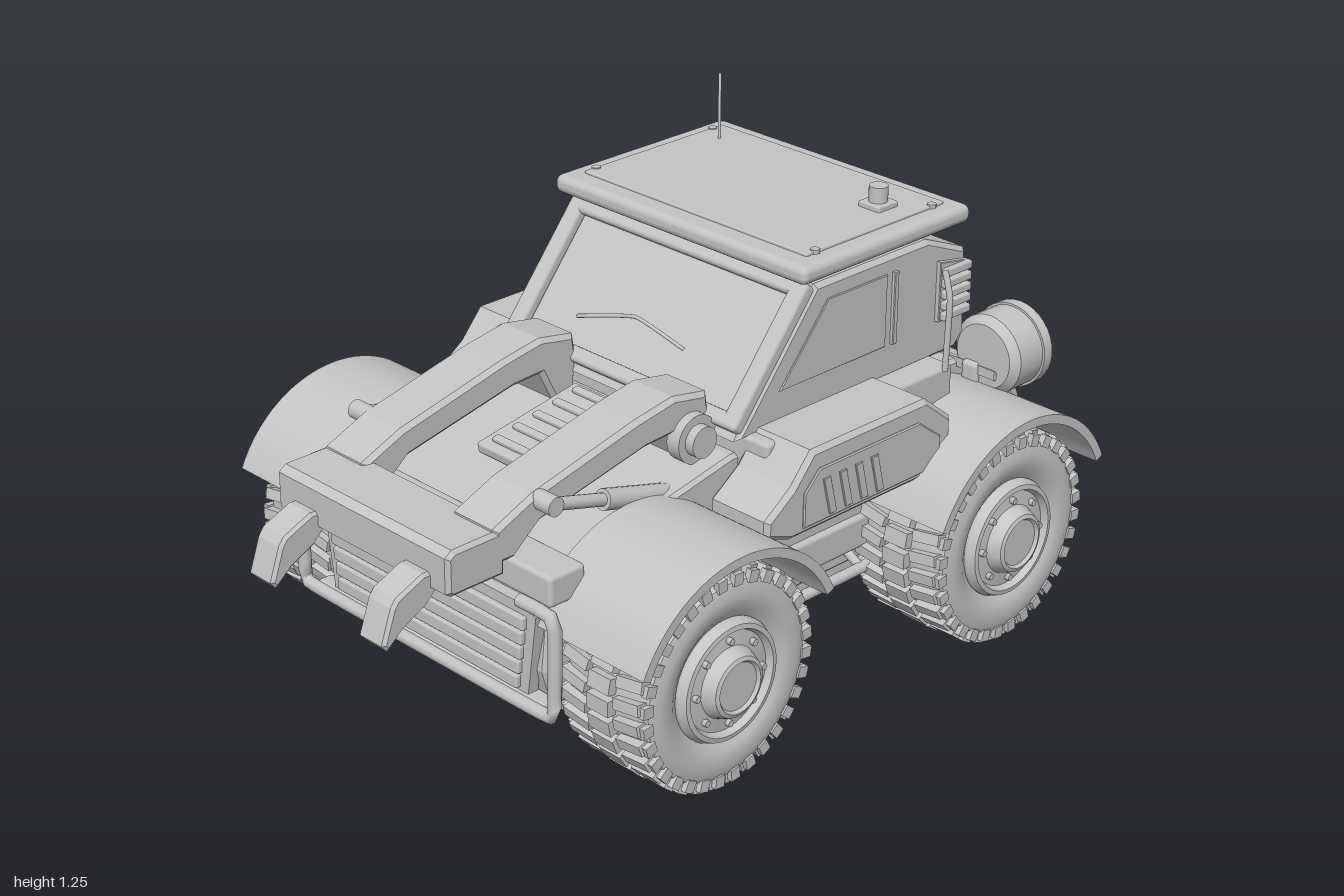
import * as THREE from 'three';
import { mergeGeometries, toCreasedNormals } from 'three/addons/utils/BufferGeometryUtils.js';
import { RoundedBoxGeometry } from 'three/addons/geometries/RoundedBoxGeometry.js';

const V = (x, y, z) => new THREE.Vector3(x, y, z);

export function createModel() {
  const model = new THREE.Group();
  const grey = new THREE.MeshStandardMaterial({ color: 0xc4c4c4 });
  grey.name = 'plain grey';

  const add = (name, geo, x = 0, y = 0, z = 0, rx = 0, parent = model) => {
    const m = new THREE.Mesh(geo, grey);
    m.name = name;
    m.position.set(x, y, z);
    m.rotation.x = rx;
    parent.add(m);
    return m;
  };
  const box = (w, h, d) => new THREE.BoxGeometry(w, h, d);
  const rbox = (w, h, d, r = 0.012) => new RoundedBoxGeometry(w, h, d, 2, r);
  // side profile of [z, y] points, spread across x from x0 to x1
  const side = (pts, x0, x1, bevel = 0.01) => {
    const g = new THREE.ExtrudeGeometry(new THREE.Shape(pts.map(p => new THREE.Vector2(...p))), {
      depth: x1 - x0 - 2 * bevel, bevelEnabled: true, bevelSize: bevel,
      bevelThickness: bevel, bevelOffset: -bevel, bevelSegments: 1,
    });
    return g.rotateY(-Math.PI / 2).translate(x1 - bevel, 0, 0);
  };
  // round bar between two points
  const rod = (name, a, b, r, seg = 14) => {
    const d = b.clone().sub(a);
    const m = add(name, new THREE.CylinderGeometry(r, r, d.length(), seg));
    m.position.copy(a).addScaledVector(d, 0.5);
    m.quaternion.setFromUnitVectors(V(0, 1, 0), d.normalize());
  };
  const tube = (name, pts, r) => add(name, new THREE.TubeGeometry(
    new THREE.CatmullRomCurve3(pts, false, 'catmullrom', 0.2), 48, r, 10));
  const both = fn => [1, -1].forEach(fn);

  // hull and belly
  add('hull', side([[0.62, 0.2], [0.65, 0.3], [0.63, 0.48], [0.58, 0.54], [0.05, 0.645], [-0.78, 0.64],
    [-0.82, 0.6], [-0.91, 0.36], [-0.86, 0.24], [-0.4, 0.2]], -0.385, 0.385));
  add('bellyPan', box(0.62, 0.12, 1.07), 0, 0.17, -0.02);
  add('cabinFloor', rbox(0.96, 0.1, 0.66), 0, 0.65, -0.3);
  add('rearPanel', side([[-0.76, 0.645], [-0.83, 0.625], [-0.935, 0.37], [-0.91, 0.36], [-0.81, 0.6], [-0.76, 0.62]], -0.51, 0.51, 0.004));

  // hood panel with vents
  const hoodTilt = 0.17;
  add('hoodPanel', rbox(0.29, 0.03, 0.33, 0.008), 0, 0.622, 0.22, hoodTilt);
  for (let i = 0; i < 5; i++) {
    const z = 0.09 + i * 0.065;
    add('hoodVent', rbox(0.23, 0.014, 0.022, 0.005), 0, 0.642 - (z - 0.22) * hoodTilt, z, hoodTilt);
  }

  // cabin
  add('cabin', side([[0.04, 0.72], [-0.2, 1.015], [-0.6, 1.015], [-0.745, 0.955], [-0.755, 0.73], [-0.72, 0.69], [0.06, 0.69]], -0.41, 0.41, 0.012));
  const screen = new THREE.Group();
  screen.name = 'windshield';
  screen.position.set(0, 0.857, -0.075);
  screen.rotation.x = -0.683;
  model.add(screen);
  both(s => {
    add('windshieldPost', rbox(0.05, 0.39, 0.04), s * 0.38, 0, 0.008, 0, screen);
    add('windshieldRail', rbox(0.81, 0.04, 0.04), 0, s * 0.175, 0.008, 0, screen);
  });
  add('windshieldPane', box(0.7, 0.32, 0.008), 0, 0, 0.003, 0, screen);
  tube('wiper', [V(-0.2, 0.805, 0), V(-0.03, 0.845, -0.035), V(0.16, 0.825, -0.015)], 0.005);

  // roof with lid, mounts, bolts, beacon and antenna
  add('roof', rbox(0.86, 0.048, 0.6, 0.02), 0, 1.055, -0.435);
  add('roofLid', rbox(0.76, 0.012, 0.49, 0.004), 0, 1.08, -0.44);
  both(s => [-0.645, -0.23].forEach(z => {
    add('roofBolt', new THREE.CylinderGeometry(0.012, 0.012, 0.01, 10), s * 0.375, 1.084, z);
    add('roofMount', box(0.04, 0.05, 0.04), s * 0.33, 1.015, Math.max(z, -0.57));
  }));
  add('beaconBase', rbox(0.07, 0.02, 0.07, 0.005), 0.29, 1.09, -0.545);
  add('beacon', new THREE.CylinderGeometry(0.024, 0.024, 0.05, 20), 0.29, 1.115, -0.545);
  tube('antenna', [V(-0.31, 1.08, -0.605), V(-0.318, 1.17, -0.612), V(-0.335, 1.25, -0.63)], 0.004);

  // cabin rear grille and engine deck
  add('rearGrilleFrame', rbox(0.7, 0.19, 0.03), 0, 0.84, -0.752);
  add('rearGrille', rbox(0.5, 0.13, 0.02, 0.006), 0, 0.845, -0.763);
  both(s => add('rearGrilleHandle', rbox(0.035, 0.13, 0.03, 0.008), s * 0.3, 0.84, -0.765));
  for (let i = 0; i < 6; i++) add('rearGrilleSlat', box(0.48, 0.008, 0.012), 0, 0.795 + i * 0.02, -0.77);
  add('engineDeck', rbox(0.5, 0.05, 0.13), 0, 0.635, -0.815, -0.25);
  for (let i = 0; i < 10; i++) add('engineDeckRib', rbox(0.034, 0.04, 0.125, 0.006), -0.225 + i * 0.05, 0.65, -0.825, -0.25);

  // rear bumper
  add('rearBumper', rbox(0.92, 0.1, 0.075, 0.015), 0, 0.28, -0.94);
  both(s => {
    add('bumperMount', box(0.08, 0.08, 0.12), s * 0.29, 0.29, -0.87);
    add('towRing', new THREE.TorusGeometry(0.03, 0.01, 10, 24), s * 0.285, 0.28, -0.988);
    add('towPin', new THREE.CylinderGeometry(0.02, 0.02, 0.03, 16), s * 0.285, 0.28, -0.982, Math.PI / 2);
  });

  // cabin sides, rear lamps, grab rods, side pods, sills
  const lamp = toCreasedNormals(new THREE.LatheGeometry([[0, -0.075], [0.085, -0.075], [0.105, -0.055], [0.105, 0.03],
    [0.111, 0.03], [0.111, 0.06], [0.092, 0.07], [0.086, 0.06], [0, 0.066]].map(p => new THREE.Vector2(...p)), 32), 0.5);
  const pod = [[0.14, 0.53], [0.14, 0.575], [0.055, 0.635], [-0.01, 0.71], [-0.41, 0.71], [-0.505, 0.635], [-0.505, 0.5], [0.055, 0.5]];
  both(s => {
    const span = (a, b) => s > 0 ? [a, b] : [-b, -a];
    add('sideWindow', side([[-0.08, 0.78], [-0.24, 0.97], [-0.45, 0.97], [-0.45, 0.78]], ...span(0.408, 0.414), 0.002));
    add('sideDoorTrim', side([[-0.47, 0.78], [-0.47, 0.97], [-0.485, 0.97], [-0.485, 0.78]], ...span(0.406, 0.42), 0.002));
    add('sideVentFrame', side([[-0.635, 0.79], [-0.635, 0.95], [-0.74, 0.93], [-0.74, 0.79]], ...span(0.405, 0.423), 0.002));
    for (let i = 0; i < 5; i++) add('sideVentSlat', rbox(0.03, 0.022, 0.1, 0.005), s * 0.422, 0.805 + i * 0.029, -0.69);
    add('rearLamp', lamp, s * 0.465, 0.672, -0.84, -Math.PI / 2);
    add('lampBracket', rbox(0.05, 0.12, 0.1), s * 0.43, 0.59, -0.8);
    tube('grabRod', [V(s * 0.48, 0.69, -0.6), V(s * 0.485, 0.88, -0.6), V(s * 0.465, 0.955, -0.6)], 0.008);
    add('sidePod', side(pod, ...span(0.4, 0.588), 0.012));
    add('sidePodPanel', side([[0.02, 0.52], [0.02, 0.61], [-0.03, 0.66], [-0.38, 0.66], [-0.46, 0.6], [-0.46, 0.52]], ...span(0.58, 0.593), 0.003));
    for (let i = 0; i < 4; i++) {
      const z = -0.04 - i * 0.055;
      add('sidePodSlot', side([[z, 0.63], [z - 0.025, 0.63], [z - 0.05, 0.53], [z - 0.025, 0.53]], ...span(0.588, 0.597), 0.002));
    }
    add('sideWall', rbox(0.07, 0.2, 0.5), s * 0.39, 0.45, -0.14);
    add('sill', rbox(0.1, 0.09, 0.5), s * 0.39, 0.315, -0.14);
    rod('stepRail', V(s * 0.44, 0.215, 0.14), V(s * 0.44, 0.215, -0.42), 0.015);
    [0.08, -0.36].forEach(z => rod('stepRailStay', V(s * 0.44, 0.215, z), V(s * 0.36, 0.26, z), 0.012));
  });

  // fenders: thick arcs over the wheels
  const fender = new THREE.Shape();
  fender.absarc(0, 0, 0.336, 0.43, Math.PI - 0.43, false);
  fender.absarc(0, 0, 0.312, Math.PI - 0.43, 0.43, true);
  const fenderGeo = toCreasedNormals(new THREE.ExtrudeGeometry(fender, { depth: 0.36, bevelEnabled: false, curveSegments: 32 })
    .rotateY(-Math.PI / 2).translate(0.18, 0, 0), 0.5);

  // wheels: tyre, tread blocks, rim and hub
  const lathe = (pts, crease) => toCreasedNormals(new THREE.LatheGeometry(pts.map(p => new THREE.Vector2(...p)), 48), crease);
  const tyre = lathe([[0.15, -0.115], [0.18, -0.135], [0.22, -0.141], [0.25, -0.13], [0.259, -0.112], [0.262, 0], [0.259, 0.112],
    [0.25, 0.13], [0.22, 0.141], [0.18, 0.135], [0.15, 0.115]], 0.7);
  const rim = lathe([[0, -0.07], [0.14, -0.07], [0.152, -0.11], [0.155, 0.125], [0.146, 0.145], [0.134, 0.147], [0.126, 0.13],
    [0.09, 0.135], [0.082, 0.155], [0.076, 0.168], [0.066, 0.172], [0.06, 0.164], [0, 0.164]], 0.4);
  const blocks = [];
  const count = 32;
  for (let i = 0; i < count; i++) {
    const a = i / count * Math.PI * 2;
    blocks.push(box(0.034, 0.07, 0.04).translate(0.267, 0, 0).rotateY(a));
    both(s => {
      blocks.push(box(0.032, 0.08, 0.028).rotateX(s * 0.15).translate(0.264, s * 0.086, 0).rotateY(a + Math.PI / count));
      blocks.push(box(0.03, 0.016, 0.028).translate(0.257, s * 0.13, 0).rotateY(a + Math.PI / count));
    });
  }
  const tread = mergeGeometries(blocks);
  const bolt = new THREE.CylinderGeometry(0.009, 0.009, 0.03, 6);
  both(s => [0.357, -0.638].forEach(z => {
    add('fender', fenderGeo, s * 0.54, 0.287, z);
    const wheel = new THREE.Group();
    wheel.name = 'wheel';
    wheel.position.set(s * 0.548, 0.287, z);
    wheel.rotation.z = -s * Math.PI / 2;
    model.add(wheel);
    add('tyre', tyre, 0, 0, 0, 0, wheel);
    add('tread', tread, 0, 0, 0, 0, wheel);
    add('rim', rim, 0, 0, 0, 0, wheel);
    for (let i = 0; i < 8; i++) {
      const a = i * Math.PI / 4;
      add('wheelBolt', bolt, Math.cos(a) * 0.107, 0.13, Math.sin(a) * 0.107, 0, wheel);
    }
    rod('axle', V(s * 0.3, 0.287, z), V(s * 0.5, 0.287, z), 0.05);
  }));

  // front grille, beams and bull bar
  const face = new THREE.Shape([[-0.35, 0.235], [0.35, 0.235], [0.38, 0.45], [0.35, 0.47], [-0.35, 0.47], [-0.38, 0.45]].map(p => new THREE.Vector2(...p)));
  add('grillePanel', new THREE.ExtrudeGeometry(face, { depth: 0.03, bevelEnabled: false }), 0, 0, 0.64);
  for (let i = 0; i < 5; i++) add('grilleSlat', rbox(0.65 + i * 0.012, 0.035, 0.024, 0.006), 0, 0.265 + i * 0.04, 0.672);
  add('frontBeam', rbox(0.87, 0.08, 0.11), 0, 0.535, 0.62);
  add('lowerBeam', rbox(0.83, 0.045, 0.05), 0, 0.218, 0.655);
  const bar = [[0.34, 0.487], [0.435, 0.487], [0.457, 0.46], [0.452, 0.26], [0.42, 0.222]];
  tube('bullBar', [...bar.map(p => V(p[0], p[1], 0.682)), ...bar.reverse().map(p => V(-p[0], p[1], 0.682))], 0.017);
  both(s => rod('bullBarStay', V(s * 0.37, 0.487, 0.682), V(s * 0.37, 0.487, 0.62), 0.014));

  // lifting arms, pivots, pistons, tool beam and hooks
  const arm = [[0.04, 0.72], [0.05, 0.785], [0.16, 0.805], [0.28, 0.785], [0.6, 0.71], [0.72, 0.66], [0.72, 0.57],
    [0.66, 0.57], [0.58, 0.635], [0.25, 0.705], [0.16, 0.71], [0.12, 0.63], [0.05, 0.63]];
  const hook = [[0.83, 0.585], [0.878, 0.588], [0.955, 0.555], [0.97, 0.535], [1, 0.45], [0.985, 0.432], [0.94, 0.47],
    [0.87, 0.505], [0.83, 0.545]];
  both(s => {
    const span = (a, b) => s > 0 ? [a, b] : [-b, -a];
    add('liftArm', side(arm, ...span(0.155, 0.305), 0.012));
    rod('armPivot', V(s * 0.29, 0.69, 0.11), V(s * 0.33, 0.69, 0.11), 0.062, 28);
    rod('armPivotCap', V(s * 0.29, 0.69, 0.11), V(s * 0.355, 0.69, 0.11), 0.04, 24);
    rod('pistonBarrel', V(s * 0.335, 0.57, 0.15), V(s * 0.335, 0.645, 0.42), 0.026);
    rod('pistonRod', V(s * 0.335, 0.645, 0.42), V(s * 0.335, 0.69, 0.58), 0.016);
    rod('pistonPin', V(s * 0.27, 0.69, 0.58), V(s * 0.355, 0.69, 0.58), 0.024, 18);
    rod('pistonFoot', V(s * 0.3, 0.57, 0.15), V(s * 0.36, 0.57, 0.15), 0.035, 18);
    add('hook', side(hook, ...span(0.155, 0.245), 0.008));
  });
  add('toolBeam', side([[0.69, 0.54], [0.69, 0.655], [0.84, 0.655], [0.86, 0.64], [0.86, 0.55], [0.845, 0.54]], -0.305, 0.305));

  return model;
}
